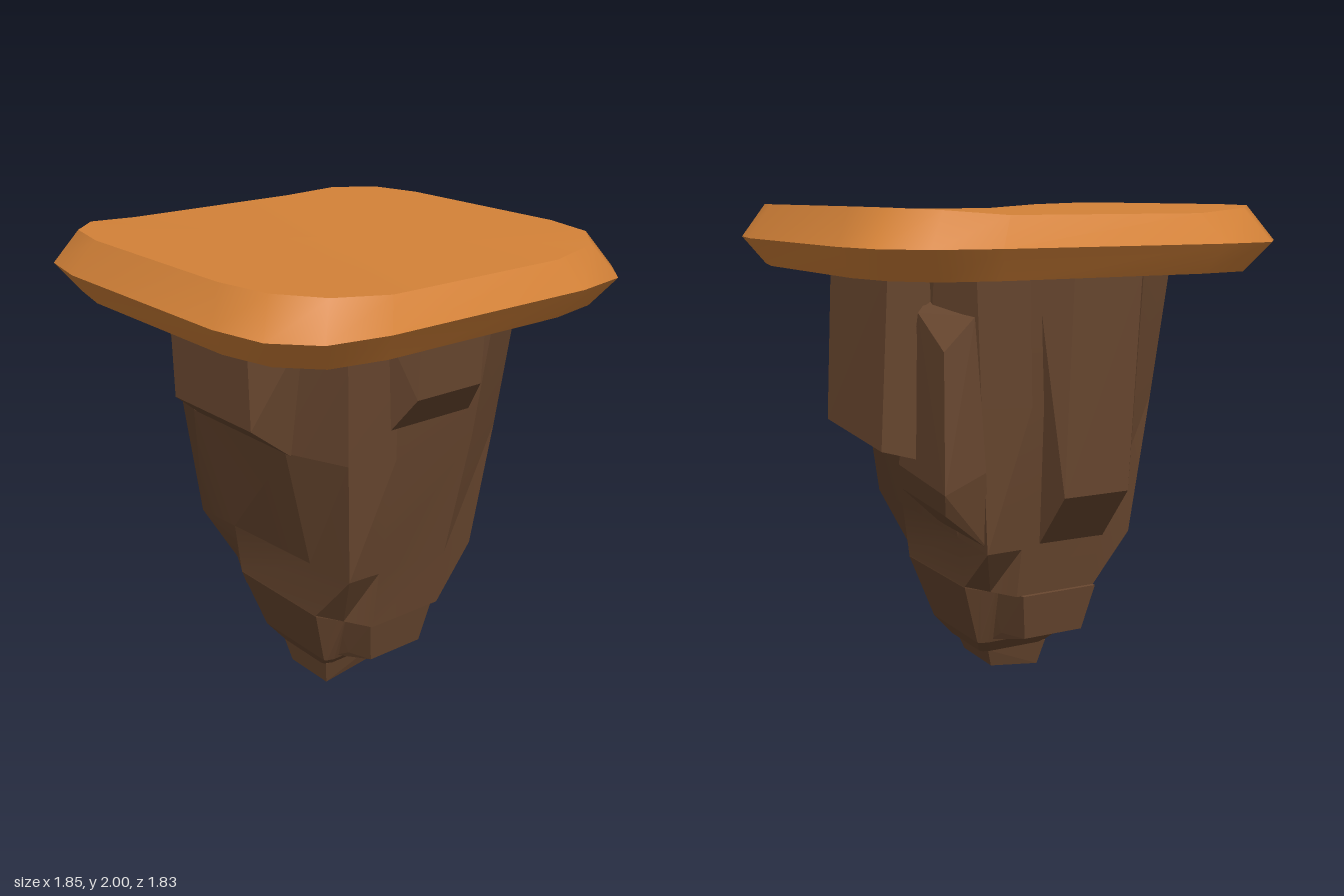
import * as THREE from 'three';
import { toCreasedNormals } from 'three/addons/utils/BufferGeometryUtils.js';
import { ConvexGeometry } from 'three/addons/geometries/ConvexGeometry.js';

// Mirror one quadrant of [x, z, y] points (front to left side) into a closed ring
function ring(y, quadrant) {
  const pts = [];
  [[1, 1], [1, -1], [-1, -1], [-1, 1]].forEach(([sx, sz], k) => {
    const q = k % 2 ? [...quadrant].reverse() : quadrant;
    for (const [x, z, py = y] of q) pts.push([sx * x, py, sz * z]);
  });
  return pts;
}

// Skin rings from bottom to top and close both ends
function loft(rings, bottomY, topY, crease) {
  const pos = [];
  const n = rings[0].length;
  const tri = (...p) => p.forEach((v) => pos.push(...v));
  const top = rings[rings.length - 1];
  for (let i = 0; i < n; i++) {
    const k = (i + 1) % n;
    for (let j = 0; j + 1 < rings.length; j++) {
      const lo = rings[j], hi = rings[j + 1];
      tri(lo[i], lo[k], hi[k]);
      tri(lo[i], hi[k], hi[i]);
    }
    tri([0, bottomY, 0], rings[0][k], rings[0][i]);
    tri([0, topY, 0], top[i], top[k]);
  }
  const geo = new THREE.BufferGeometry();
  geo.setAttribute('position', new THREE.Float32BufferAttribute(pos, 3));
  return toCreasedNormals(geo, crease);
}

// Convex block from its corner points
const block = (corners) => new ConvexGeometry(corners.map((c) => new THREE.Vector3(...c)));

export function createModel() {
  const group = new THREE.Group();
  const capMat = new THREE.MeshStandardMaterial({ color: 0xd48238 });
  capMat.name = 'orange ground';
  const rockMat = new THREE.MeshStandardMaterial({ color: 0x6a4830 });
  rockMat.name = 'brown rock';
  const add = (name, geo, mat = rockMat) => {
    const mesh = new THREE.Mesh(geo, mat);
    mesh.name = name;
    group.add(mesh);
  };

  // Rounded square slab with a bevelled rim and slightly dished top
  add('groundSlab', loft([
    ring(1.745, [[0.44, 0.84], [0.66, 0.79], [0.8, 0.66], [0.845, 0.43]]),
    ring(1.86, [[0.49, 0.915], [0.73, 0.87], [0.88, 0.73], [0.925, 0.48]]),
    ring(2, [[0.42, 0.838, 2], [0.65, 0.79, 1.998], [0.8, 0.65, 1.99], [0.845, 0.41, 1.972]]),
  ], 1.745, 1.967, 0.7), capMat);

  // Tapering rock with sharp corners and bulging sides.
  // Each row: y, tilt, then [x, z] of front edge, corner and side edge
  const sections = [
    [0.11, 0, [0.13, 0.16], [0.145, 0.15], [0.155, 0.12]],
    [0.18, 0, [0.21, 0.21], [0.22, 0.2], [0.23, 0.17]],
    [0.45, 0, [0.27, 0.3], [0.305, 0.245], [0.34, 0.19]],
    [0.456, 0, [0.27, 0.3], [0.38, 0.24], [0.492, 0.18]],
    [0.69, 0.045, [0.27, 0.33], [0.525, 0.33], [0.53, 0.18]],
    [1.25, 0, [0.32, 0.485], [0.582, 0.385], [0.642, 0.2]],
    [1.755, 0, [0.42, 0.5], [0.63, 0.43], [0.695, 0.24]],
  ];
  add('rockBody', loft(sections.map(([y, tilt, ...quadrant]) =>
    ring(y, quadrant).map(([x, py, z]) => [x, py + tilt * (x + z / 2), z])), 0.11, 1.755, 0.15));

  // Tip with a tilted underside
  add('rockTip', block([
    [-0.155, 0.115, 0.155], [0.155, 0.115, 0.155], [-0.155, 0.115, -0.13], [0.155, 0.115, -0.13],
    [-0.125, 0, 0.13], [0.125, 0, 0.13], [-0.125, 0.03, -0.1], [0.125, 0.03, -0.1],
  ]));

  // Wedge-shaped ledges low on both sides
  for (const [name, s, out] of [['leftLowerLedge', 1, 0.48], ['rightLowerLedge', -1, 0.51]]) {
    add(name, block([
      [s * out, 0.458, 0.18], [s * out, 0.458, -0.16],
      [s * (out - 0.04), 0.265, 0.14], [s * (out - 0.04), 0.265, -0.13],
      [s * 0.25, 0.458, 0.2], [s * 0.25, 0.458, -0.19],
      [s * 0.31, 0.245, 0.155], [s * 0.31, 0.245, -0.15],
      [s * 0.22, 0.19, 0.15], [s * 0.22, 0.19, -0.15],
    ]));
  }

  // Chunk on the front
  add('frontChunk', block([
    [-0.225, 1.755, 0.64], [0.3, 1.755, 0.64], [-0.225, 1.365, 0.63], [0.3, 1.365, 0.63],
    [-0.39, 1.755, 0.5], [0.46, 1.755, 0.5], [-0.29, 1.245, 0.48], [0.35, 1.245, 0.48],
  ]));

  // Small chunk on the left side
  add('leftChunk', block([
    [0.785, 1.755, 0.22], [0.785, 1.755, -0.1], [0.775, 1.53, 0.22], [0.775, 1.53, -0.1],
    [0.68, 1.755, 0.28], [0.68, 1.755, -0.2], [0.665, 1.39, 0.25], [0.665, 1.39, -0.15],
  ]));

  // Tall slab on the right side
  add('rightSlab', block([
    [-0.775, 1.755, 0.2], [-0.775, 1.755, -0.1], [-0.72, 0.9, 0.19], [-0.72, 0.9, -0.1],
    [-0.67, 1.755, 0.28], [-0.67, 1.755, -0.2], [-0.51, 0.65, 0.2], [-0.51, 0.65, -0.1],
  ]));

  // Big chunk on the back
  add('backChunk', block([
    [-0.24, 1.755, -0.61], [0.35, 1.755, -0.61], [-0.24, 1.05, -0.648], [0.3, 1.1, -0.66],
    [-0.4, 1.755, -0.48], [0.46, 1.755, -0.48], [-0.36, 0.99, -0.41], [0.4, 1.01, -0.42],
  ]));

  // Narrow splinter at the back right corner
  add('cornerSplinter', block([
    [-0.36, 1.6, -0.54], [-0.56, 1.47, -0.53], [-0.14, 0.97, -0.53], [-0.54, 0.92, -0.52],
    [-0.36, 1.7, -0.46], [-0.6, 1.6, -0.42], [-0.1, 0.86, -0.5], [-0.5, 0.83, -0.5],
    [-0.1, 0.68, -0.31], [-0.5, 0.67, -0.31], [-0.57, 1.0, -0.36],
  ]));

  return group;
}
